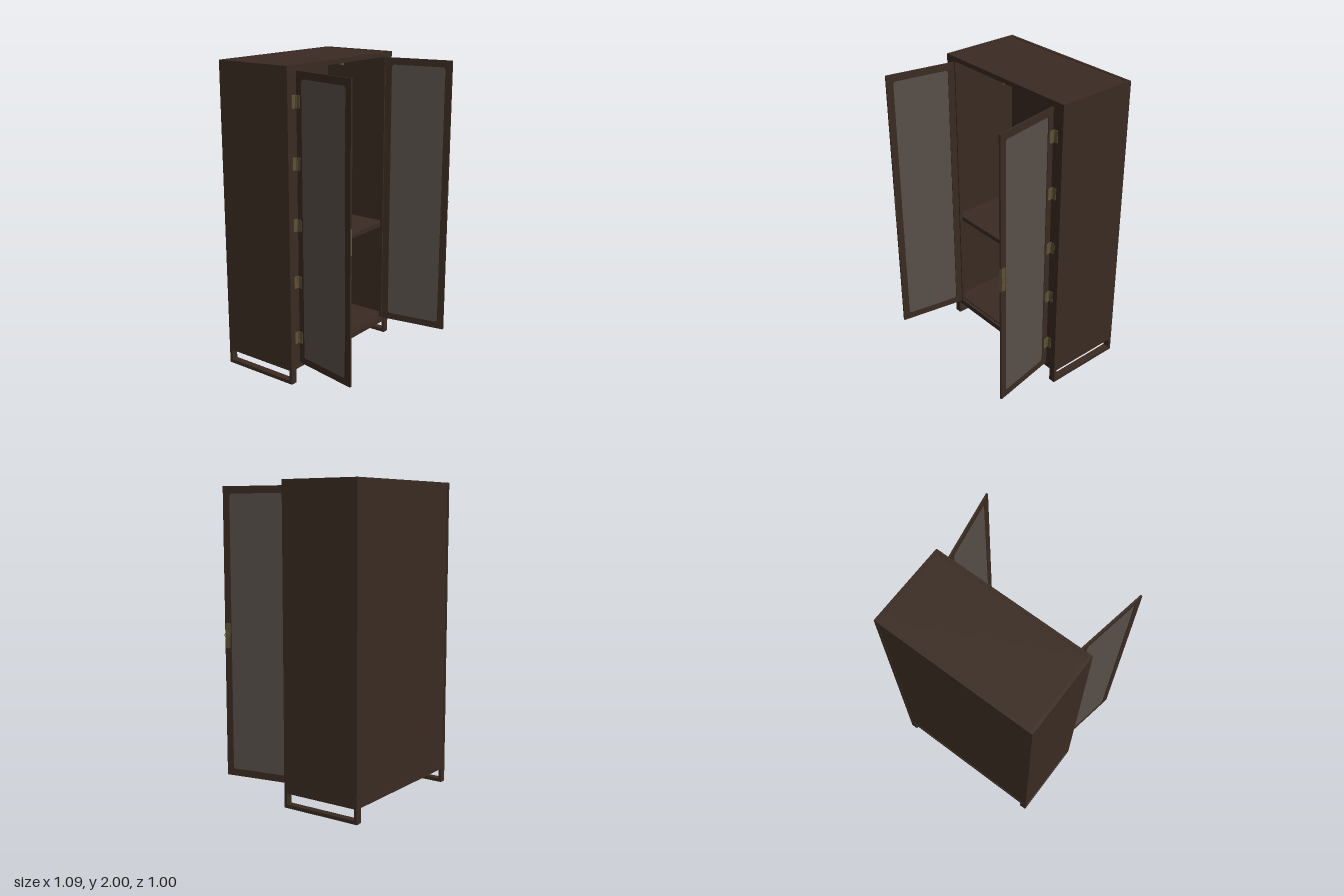
import * as THREE from 'three';

const wood = new THREE.MeshStandardMaterial({ color: 0x3a2b22 });
const glass = new THREE.MeshStandardMaterial({ color: 0x574e48 });
const brass = new THREE.MeshStandardMaterial({ color: 0x5e5238 });

// Cabinet body extents
const HW = 0.53, BACK = -0.505, FRONT = 0.035, BASE = 0.092, TOP = 2;
// Door leaf
const DOOR_W = 0.462, DOOR_Y0 = 0.132, DOOR_Y1 = 1.968, DOOR_T = 0.012;
const OPEN_X = 0.45, MID_Y = 1.04;

function add(parent, name, geometry, material) {
  const mesh = new THREE.Mesh(geometry, material);
  mesh.name = name;
  parent.add(mesh);
  return mesh;
}

// Box given by its min and max on each axis
function box(parent, name, x0, x1, y0, y1, z0, z1, material = wood) {
  const mesh = add(parent, name, new THREE.BoxGeometry(x1 - x0, y1 - y0, z1 - z0), material);
  mesh.position.set((x0 + x1) / 2, (y0 + y1) / 2, (z0 + z1) / 2);
  return mesh;
}

function roundedRect(path, x0, y0, x1, y1, r) {
  path.absarc(x1 - r, y0 + r, r, -Math.PI / 2, 0);
  path.absarc(x1 - r, y1 - r, r, 0, Math.PI / 2);
  path.absarc(x0 + r, y1 - r, r, Math.PI / 2, Math.PI);
  path.absarc(x0 + r, y0 + r, r, Math.PI, Math.PI * 1.5);
  path.closePath();
  return path;
}

function slab(shape, depth) {
  return new THREE.ExtrudeGeometry(shape, { depth, bevelEnabled: false, curveSegments: 5 })
    .translate(0, 0, -depth / 2);
}

function buildBody() {
  const body = new THREE.Group();
  body.name = 'cabinetBody';
  const rim = 0.02, inner = HW - rim;

  for (const s of [-1, 1]) {
    const span = (a, b) => (s > 0 ? [a, b] : [-b, -a]);
    box(body, 'sidePanel', ...span(inner, HW), BASE, TOP, BACK, FRONT);
    box(body, 'frontStile', ...span(OPEN_X, inner), BASE, TOP - 0.03, FRONT - 0.02, FRONT);
  }
  // Rails closing the front and back frames
  box(body, 'frontTopRail', -inner, inner, TOP - 0.03, TOP, FRONT - 0.02, FRONT);
  box(body, 'frontBottomRail', -OPEN_X, OPEN_X, BASE, 0.13, FRONT - 0.02, FRONT);
  box(body, 'backTopRail', -inner, inner, TOP - rim, TOP, BACK, BACK + 0.02);
  box(body, 'backBottomRail', -inner, inner, BASE, 0.13, BACK, BACK + 0.02);
  // Slightly recessed panels and the interior
  box(body, 'topPanel', -inner, inner, TOP - 0.028, TOP - 0.003, BACK + 0.02, FRONT - 0.02);
  box(body, 'backPanel', -inner, inner, 0.13, TOP - rim, BACK + 0.004, BACK + 0.018);
  box(body, 'floorPanel', -inner, inner, 0.112, 0.138, BACK + 0.018, FRONT - 0.02);
  box(body, 'shelf', -inner, inner, 0.795, 0.825, BACK + 0.018, FRONT - 0.03);
  // Door catch under the top rail
  box(body, 'doorCatch', -0.012, 0.012, TOP - 0.042, TOP - 0.03, FRONT - 0.018, FRONT - 0.002, brass);
  return body;
}

// Sled foot: two posts joined by a floor bar
function buildFoot(s) {
  const foot = new THREE.Group();
  foot.name = s > 0 ? 'leftFoot' : 'rightFoot';
  const x0 = s > 0 ? HW - 0.045 : -HW, x1 = x0 + 0.045;
  box(foot, 'frontPost', x0, x1, 0, BASE, FRONT - 0.02, FRONT);
  box(foot, 'backPost', x0, x1, 0, BASE, BACK, BACK + 0.02);
  box(foot, 'floorBar', x0, x1, 0, 0.023, BACK + 0.02, FRONT - 0.02);
  return foot;
}

// Door leaf runs along local x from the hinge; out is the local z sign of its outer face
function buildDoor(s) {
  const door = new THREE.Group();
  door.name = s > 0 ? 'leftDoor' : 'rightDoor';
  const out = -s, face = out * DOOR_T / 2;

  const frame = new THREE.Shape();
  roundedRect(frame, 0, DOOR_Y0, DOOR_W, DOOR_Y1, 0.001);
  frame.holes.push(roundedRect(new THREE.Path(), 0.045, DOOR_Y0 + 0.045, DOOR_W - 0.045, DOOR_Y1 - 0.045, 0.018));
  add(door, 'doorFrame', slab(frame, DOOR_T), wood);
  box(door, 'glassPane', 0.04, DOOR_W - 0.04, DOOR_Y0 + 0.04, DOOR_Y1 - 0.04, -0.002, 0.002, glass);

  // Lock plate on the meeting edge
  const plate = roundedRect(new THREE.Shape(), -0.005, MID_Y - 0.08, 0.005, MID_Y + 0.08, 0.003);
  const edge = add(door, 'edgePlate', slab(plate, 0.002), brass);
  edge.rotation.y = Math.PI / 2;
  edge.position.x = DOOR_W;

  if (s > 0) {
    // Escutcheon and ring pull on the outer face
    const shield = roundedRect(new THREE.Shape(), DOOR_W - 0.038, MID_Y - 0.08, DOOR_W - 0.004, MID_Y + 0.08, 0.01);
    add(door, 'escutcheon', slab(shield, 0.004), brass).position.z = face + out * 0.001;
    const stem = add(door, 'pullStem', new THREE.CylinderGeometry(0.004, 0.004, 0.012, 10), brass);
    stem.rotation.x = Math.PI / 2;
    stem.position.set(DOOR_W - 0.018, MID_Y + 0.015, face + out * 0.007);
    const ring = add(door, 'ringPull', new THREE.TorusGeometry(0.015, 0.002, 6, 20), brass);
    ring.position.set(DOOR_W - 0.018, MID_Y, face + out * 0.011);
    ring.rotation.x = out * 0.2;
  }

  // Hinge leaves on the outer face
  for (const y of [0.305, 0.675, 1.04, 1.42, 1.79]) {
    const leaf = roundedRect(new THREE.Shape(), 0, y - 0.04, 0.032, y + 0.04, 0.012);
    add(door, 'hingeDoorLeaf', slab(leaf, 0.003), brass).position.z = face + out * 0.001;
  }

  door.position.set(s * (OPEN_X + 0.002), 0, FRONT + 0.008);
  door.rotation.y = -Math.acos(s * 0.174);
  return door;
}

// Barrels and fixed leaves on the front stile
function buildHinges(s) {
  const hinges = new THREE.Group();
  hinges.name = s > 0 ? 'leftHinges' : 'rightHinges';
  for (const y of [0.305, 0.675, 1.04, 1.42, 1.79]) {
    const barrel = add(hinges, 'hingeBarrel', new THREE.CylinderGeometry(0.005, 0.005, 0.076, 10), brass);
    barrel.position.set(s * (OPEN_X + 0.01), y, FRONT + 0.006);
    const leaf = roundedRect(new THREE.Shape(), -0.017, -0.04, 0.017, 0.04, 0.01);
    add(hinges, 'hingeFixedLeaf', slab(leaf, 0.003), brass)
      .position.set(s * (OPEN_X + 0.025), y, FRONT + 0.0015);
  }
  return hinges;
}

export function createModel() {
  const model = new THREE.Group();
  model.name = 'displayCabinet';
  model.add(buildBody());
  for (const s of [-1, 1]) model.add(buildFoot(s), buildDoor(s), buildHinges(s));
  return model;
}
